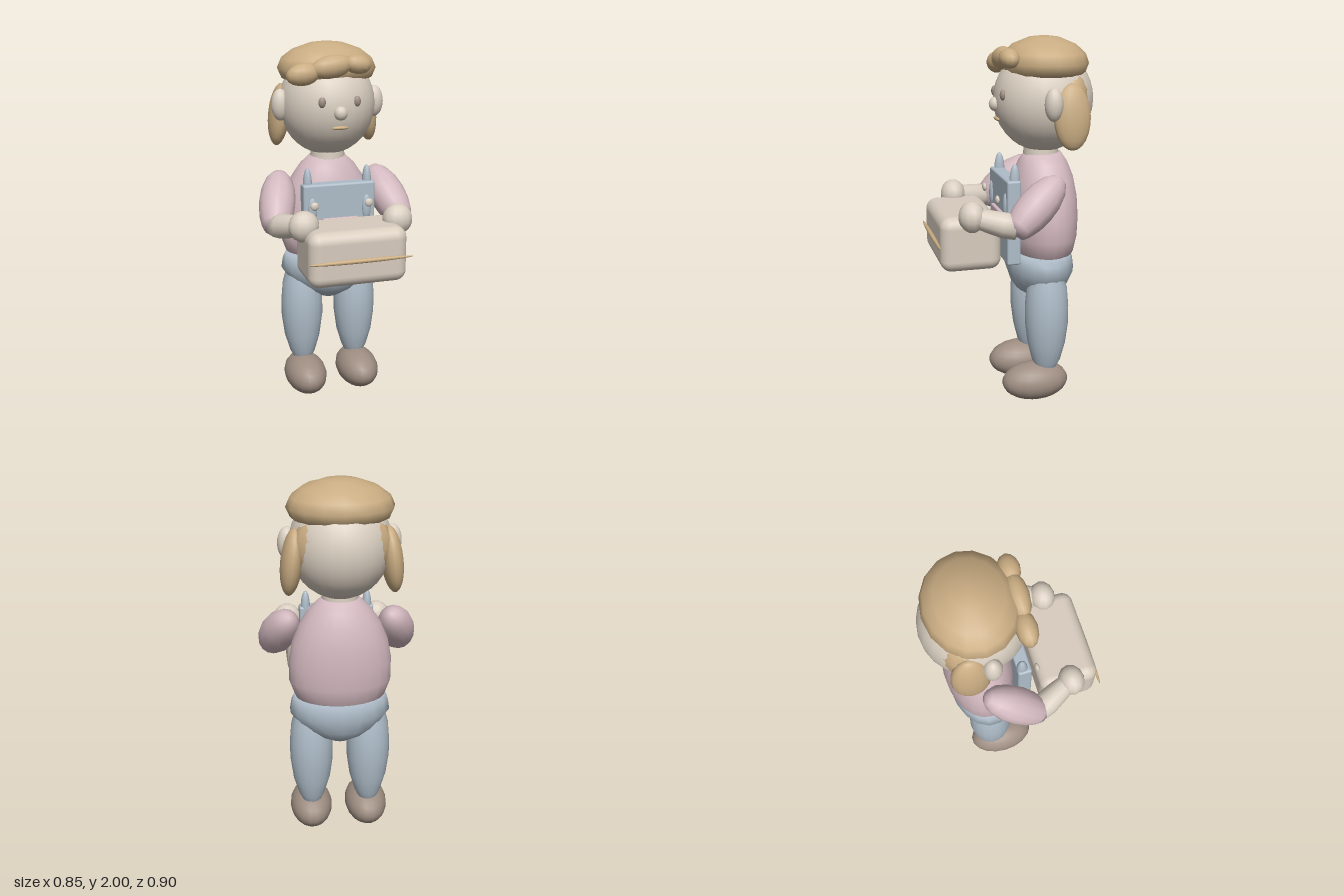
import * as THREE from 'three';
import { RoundedBoxGeometry } from 'three/addons/geometries/RoundedBoxGeometry.js';
import { mergeVertices } from 'three/addons/utils/BufferGeometryUtils.js';

const paint = (name, color) => Object.assign(new THREE.MeshStandardMaterial({ color }), { name });

export function createModel() {
  const skin = paint('skin', 0xdacfc1);
  const hair = paint('hair', 0xc9ac82);
  const pink = paint('sweater pink', 0xd3b9c0);
  const blue = paint('denim blue', 0xafbdc9);
  const brown = paint('shoe brown', 0x9f8e82);
  const cream = paint('box cream', 0xd8ccbe);
  const model = new THREE.Group();
  model.name = 'figure';

  function add(name, geometry, material, pos = [0, 0, 0], rot = [0, 0, 0]) {
    const mesh = new THREE.Mesh(geometry, material);
    mesh.name = name;
    mesh.position.set(...pos);
    mesh.rotation.set(...rot);
    model.add(mesh);
    return mesh;
  }

  function ellipsoid(name, material, pos, radii, rot, segments = 16) {
    const geometry = new THREE.SphereGeometry(1, segments, Math.round(segments * 0.75));
    geometry.scale(...radii);
    return add(name, geometry, material, pos, rot);
  }

  // Stacked elliptical sections, bottom to top: [y, half width, half depth]
  function loft(rows, segments = 18) {
    const lathe = new THREE.LatheGeometry(rows.map(([y, rx]) => new THREE.Vector2(rx, y)), segments);
    const p = lathe.attributes.position;
    for (let i = 0; i < p.count; i++) {
      const [, rx, rz] = rows[i % rows.length];
      if (rx > 0) p.setZ(i, p.getZ(i) * rz / rx);
    }
    lathe.deleteAttribute('uv');
    lathe.deleteAttribute('normal');
    const geometry = mergeVertices(lathe);
    geometry.computeVertexNormals();
    return geometry;
  }

  // Round limb between two points; profile is [fraction along, radius]
  function limb(name, material, from, to, profile) {
    const a = new THREE.Vector3(...from);
    const d = new THREE.Vector3(...to).sub(a);
    const length = d.length();
    const mesh = add(name, loft(profile.map(([t, r]) => [t * length, r, r]), 14), material, from);
    mesh.quaternion.setFromUnitVectors(new THREE.Vector3(0, 1, 0), d.normalize());
  }

  // Head and face
  ellipsoid('head', skin, [0, 1.665, -0.2], [0.262, 0.278, 0.268], undefined, 24);
  ellipsoid('nose', skin, [0, 1.648, 0.063], [0.036, 0.038, 0.034]);
  ellipsoid('mouth', hair, [0, 1.57, 0.055], [0.047, 0.01, 0.012]);
  add('neck', new THREE.CylinderGeometry(0.09, 0.1, 0.14, 16), skin, [0, 1.39, -0.19]);

  // Hair
  add('hairCap', loft([
    [1.78, 0.19, 0.17], [1.81, 0.25, 0.215], [1.86, 0.272, 0.232], [1.91, 0.25, 0.215],
    [1.955, 0.19, 0.165], [1.99, 0.09, 0.08], [2, 0, 0],
  ], 16), hair, [0, 0, -0.203]);
  ellipsoid('backHair', hair, [0, 1.68, -0.3], [0.25, 0.2, 0.132]);
  ellipsoid('rightFringe', hair, [-0.185, 1.848, 0.008], [0.092, 0.058, 0.053], [0, 0, 0.12], 12);
  ellipsoid('middleFringe', hair, [-0.035, 1.883, 0.013], [0.118, 0.06, 0.055], [0, 0, 0.15], 12);
  ellipsoid('leftFringe', hair, [0.105, 1.892, 0.013], [0.078, 0.05, 0.054], [0, 0, -0.15], 12);

  // Torso and trousers
  add('sweater', loft([
    [0.82, 0.2, 0.13], [0.84, 0.24, 0.165], [0.93, 0.272, 0.182], [1.04, 0.272, 0.187],
    [1.15, 0.252, 0.182], [1.25, 0.21, 0.163], [1.33, 0.155, 0.132], [1.38, 0.1, 0.1], [1.395, 0, 0],
  ], 24), pink, [0, 0, -0.2]);
  add('hips', loft([
    [0.548, 0, 0], [0.565, 0.06, 0.06], [0.61, 0.145, 0.125], [0.66, 0.215, 0.16],
    [0.74, 0.272, 0.185], [0.8, 0.262, 0.178], [0.835, 0.245, 0.165], [0.836, 0, 0],
  ]), blue, [0, 0, -0.183]);

  // Bib and pocket
  add('bib', new RoundedBoxGeometry(0.4, 0.46, 0.075, 2, 0.012), blue, [0, 1.04, 0.01]);
  add('bibPocket', new RoundedBoxGeometry(0.2, 0.12, 0.024, 2, 0.008), pink, [0, 1.025, 0.055]);

  // Carried box with its trim
  add('carriedBox', new RoundedBoxGeometry(0.526, 0.294, 0.322, 4, 0.06), cream, [0, 0.958, 0.25]);
  ellipsoid('boxTrim', hair, [0, 0.956, 0.42], [0.28, 0.012, 0.012], undefined, 20);

  // Mirrored parts
  for (const [side, s] of [['left', 1], ['right', -1]]) {
    ellipsoid(side + 'Eye', brown, [s * 0.095, 1.705, 0.045], [0.02, 0.028, 0.016]);
    ellipsoid(side + 'Ear', skin, [s * 0.265, 1.67, -0.178], [0.05, 0.086, 0.048]);
    ellipsoid(side + 'SideHair', hair, [s * 0.25, 1.602, -0.282], [0.056, 0.172, 0.1], [0, 0, s * 0.12]);

    limb(side + 'Sleeve', pink, [s * 0.265, 1.29, -0.225], [s * 0.358, 1.045, 0.05], [
      [0, 0], [0.04, 0.04], [0.15, 0.072], [0.35, 0.094], [0.55, 0.1], [0.75, 0.093], [0.92, 0.075], [1, 0.06], [1.01, 0],
    ]);
    limb(side + 'Forearm', skin, [s * 0.355, 1.06, 0.03], [s * 0.26, 1.105, 0.23], [
      [0, 0], [0.02, 0.06], [0.3, 0.068], [0.7, 0.06], [1, 0.05],
    ]);
    ellipsoid(side + 'Hand', skin, [s * 0.254, 1.11, 0.25], [0.082, 0.082, 0.07], undefined, 12);

    ellipsoid(side + 'StrapTop', blue, [s * 0.166, 1.25, 0], [0.026, 0.105, 0.03], undefined, 12);
    ellipsoid(side + 'StrapEnd', blue, [s * 0.152, 1.13, 0.046], [0.026, 0.07, 0.016], undefined, 12);
    ellipsoid(side + 'Button', skin, [s * 0.151, 1.165, 0.09], [0.023, 0.023, 0.012], undefined, 12);

    add(side + 'Leg', loft([
      [0.18, 0.05, 0.055], [0.23, 0.073, 0.08], [0.33, 0.102, 0.105], [0.45, 0.118, 0.12],
      [0.55, 0.118, 0.12], [0.66, 0.108, 0.11], [0.76, 0.08, 0.08],
    ]), blue, [s * 0.157, 0, -0.185]);
    ellipsoid(side + 'Shoe', brown, [s * 0.157, 0.108, -0.122], [0.118, 0.108, 0.188], undefined, 18);
  }
  return model;
}
